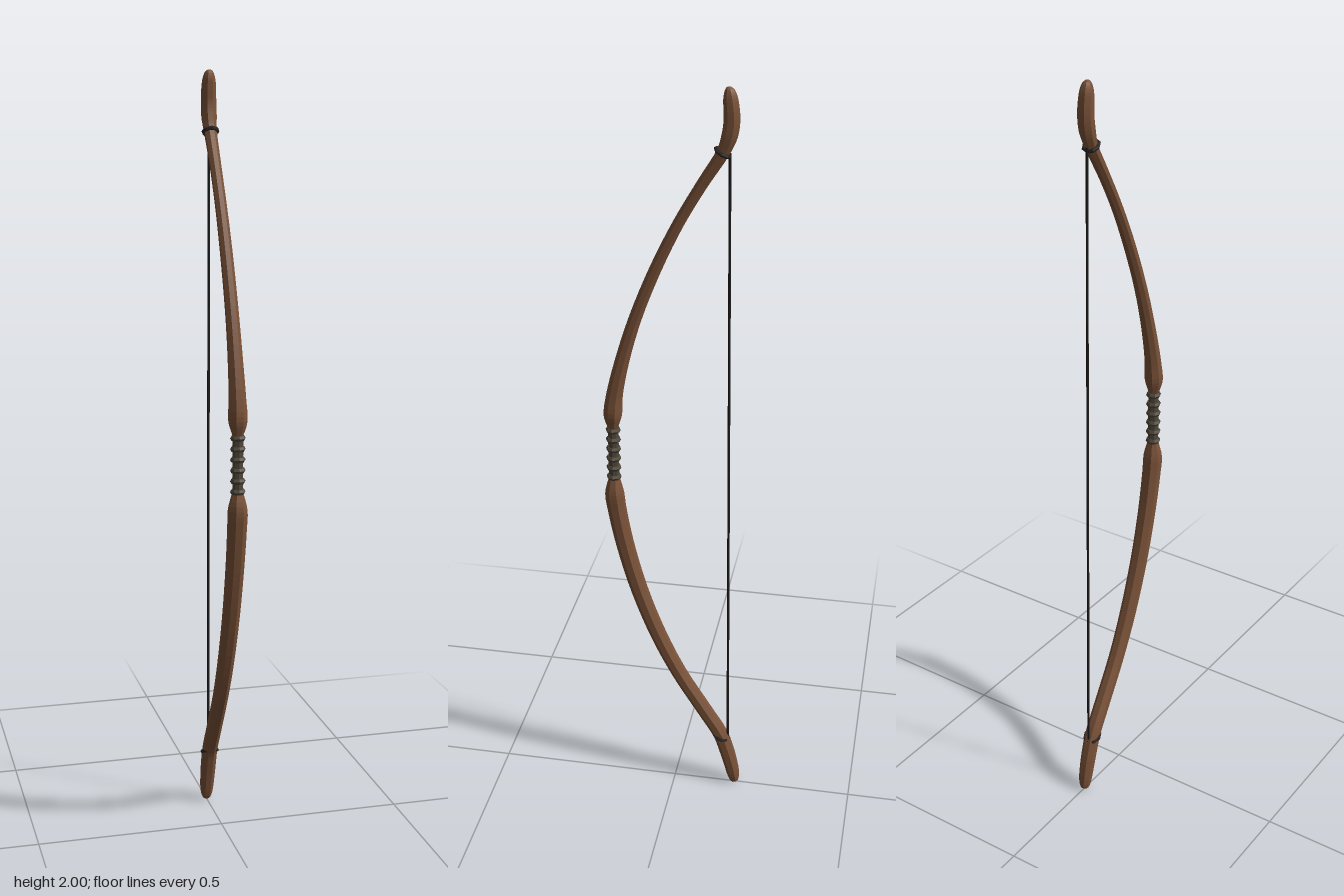
import * as THREE from 'three';

const mat = (color, flatShading = true) => new THREE.MeshStandardMaterial({ color, flatShading });
const wood = mat(0x7a5238);
const wrap = mat(0x4f463a);
const dark = mat(0x2b2624);
const cord = mat(0x1c1a19);

// Sweeps an octagon along a curve in the YZ plane; stations are [radius, y, z], bottom to top.
function sweep(stations, steps, sides = 8) {
  const curve = new THREE.CatmullRomCurve3(stations.map(s => new THREE.Vector3(...s)), false, 'centripetal');
  const pos = [], idx = [];
  for (let i = 0; i <= steps; i++) {
    const p = curve.getPoint(i / steps), t = curve.getTangent(i / steps);
    const len = Math.hypot(t.y, t.z), ty = t.y / len, tz = t.z / len;
    const r = Math.max(p.x, 0.002);
    for (let j = 0; j < sides; j++) {
      const a = ((j + 0.5) / sides) * Math.PI * 2;
      const u = Math.cos(a) * r, v = Math.sin(a) * r;
      pos.push(u, p.y - v * tz, p.z + v * ty);
    }
  }
  for (let i = 0; i < steps; i++) {
    for (let j = 0; j < sides; j++) {
      const a = i * sides + j, b = i * sides + (j + 1) % sides;
      idx.push(a, a + sides, b, b, a + sides, b + sides);
    }
  }
  // End caps
  const last = steps * sides;
  for (let j = 1; j < sides - 1; j++) {
    idx.push(0, j, j + 1, last, last + j + 1, last + j);
  }
  const geo = new THREE.BufferGeometry();
  geo.setAttribute('position', new THREE.Float32BufferAttribute(pos, 3));
  geo.setIndex(idx);
  geo.computeVertexNormals();
  return geo;
}

export function createModel() {
  const bow = new THREE.Group();
  bow.name = 'bow';
  const add = (name, geo, material, parent = bow) => {
    const m = new THREE.Mesh(geo, material);
    m.name = name;
    parent.add(m);
    return m;
  };

  // Upper limb: flared at the grip, slim, then a recurved tip
  add('upperLimb', sweep([
    [0.014, 1.11, 0.163], [0.024, 1.145, 0.163], [0.022, 1.2, 0.158], [0.019, 1.3, 0.136],
    [0.017, 1.42, 0.1], [0.016, 1.55, 0.049], [0.015, 1.67, -0.008], [0.015, 1.77, -0.065],
    [0.017, 1.85, -0.114], [0.02, 1.885, -0.127], [0.02, 1.92, -0.132], [0.019, 1.955, -0.13],
    [0.016, 1.98, -0.127], [0.01, 1.995, -0.125], [0.004, 2, -0.125],
  ], 56), wood);

  // Lower limb: thicker, ending in a backswept tip
  add('lowerLimb', sweep([
    [0.004, 0.001, -0.174], [0.011, 0.005, -0.173], [0.017, 0.025, -0.17], [0.02, 0.07, -0.16],
    [0.021, 0.12, -0.146], [0.021, 0.165, -0.13], [0.021, 0.24, -0.085], [0.021, 0.36, -0.012],
    [0.022, 0.48, 0.046], [0.023, 0.62, 0.098], [0.024, 0.76, 0.136], [0.025, 0.87, 0.157],
    [0.025, 0.92, 0.163], [0.014, 0.965, 0.163],
  ], 52), wood);

  // Grip core wrapped with cord rings
  const grip = new THREE.Group();
  grip.name = 'grip';
  grip.position.set(0, 1.035, 0.163);
  bow.add(grip);
  add('gripCore', new THREE.CylinderGeometry(0.014, 0.014, 0.17, 8), wrap, grip);
  for (let i = 0; i < 6; i++) {
    const ring = add('gripRing', new THREE.TorusGeometry(0.0125, 0.0075, 6, 8), wrap, grip);
    ring.rotation.x = Math.PI / 2;
    ring.position.y = -0.068 + i * 0.0272;
  }

  // Dark bindings that hold the string
  for (const [name, y, z, tilt, r] of [
    ['upperBinding', 1.847, -0.112, -0.5, 0.018],
    ['lowerBinding', 0.16, -0.132, 0.4, 0.021],
  ]) {
    const ring = add(name, new THREE.TorusGeometry(r, 0.0055, 6, 8), dark);
    ring.rotation.x = Math.PI / 2 + (name === 'upperBinding' ? tilt : -tilt);
    ring.position.set(0, y, z);
  }

  // String
  const path = new THREE.LineCurve3(new THREE.Vector3(0, 0.16, -0.151), new THREE.Vector3(0, 1.847, -0.129));
  add('string', new THREE.TubeGeometry(path, 1, 0.0035, 6), cord);

  return bow;
}
